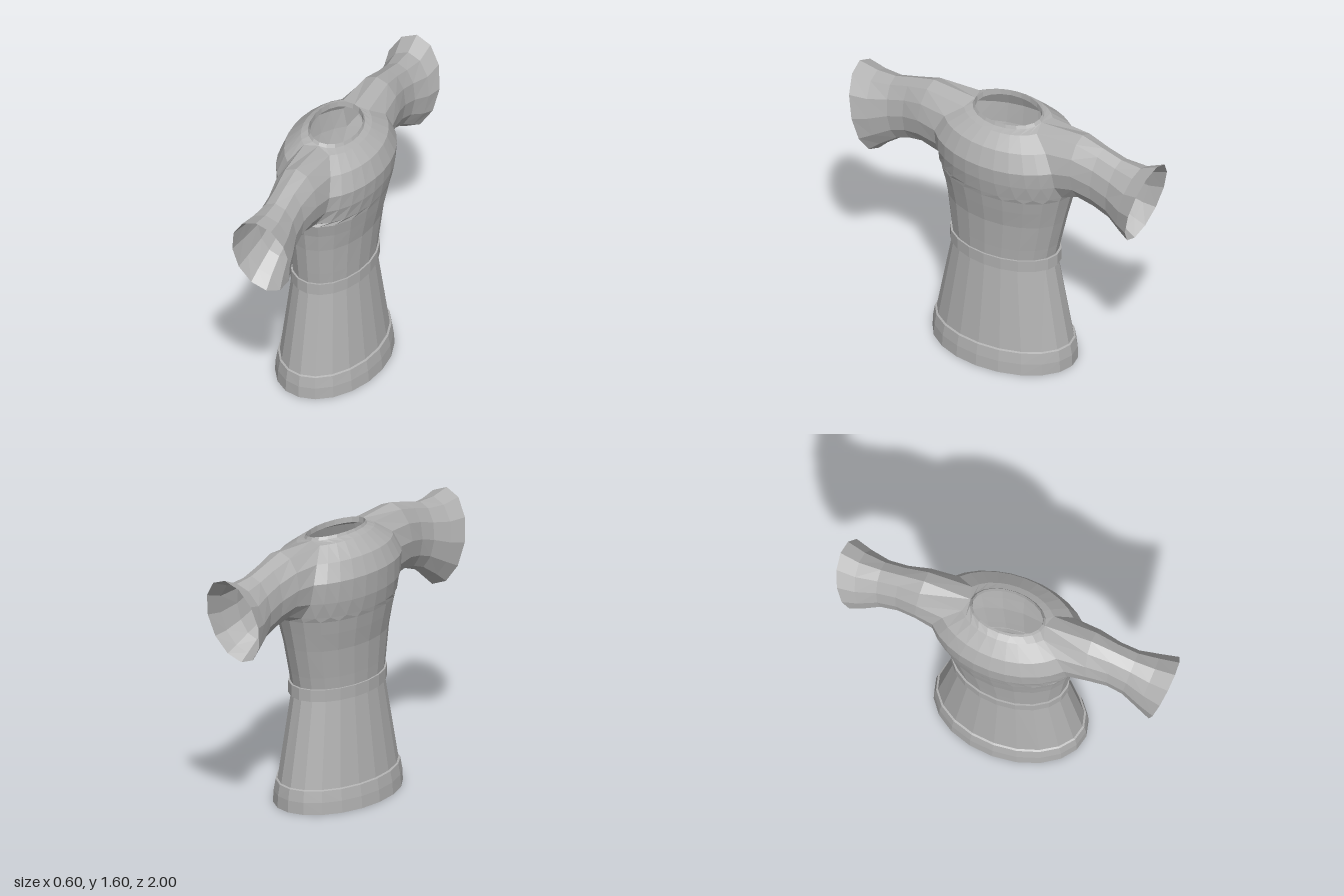
import * as THREE from 'three';

const cloth = new THREE.MeshStandardMaterial({ color: 0xb0b0b0, flatShading: true, side: THREE.DoubleSide });
cloth.name = 'grey cloth';

const COLS = 10; // columns in each half of the body
const SIDES = 12; // points around a sleeve

// Skin between successive rows of points.
function loft(rows, flip) {
  const pos = [];
  for (let j = 0; j + 1 < rows.length; j++) {
    for (let i = 0; i + 1 < rows[j].length; i++) {
      const a = rows[j][i], b = rows[j][i + 1], c = rows[j + 1][i + 1], d = rows[j + 1][i];
      for (const p of flip ? [a, c, b, a, d, c] : [a, b, c, a, c, d]) pos.push(p.x, p.y, p.z);
    }
  }
  const g = new THREE.BufferGeometry();
  g.setAttribute('position', new THREE.Float32BufferAttribute(pos, 3));
  g.computeVertexNormals();
  return g;
}

// Point on a body level; w is the half width of the armhole at that height.
function bodyPoint({ y, rx, rz, cz = 0, tilt = 0, w = 0 }, t, s) {
  const e = Math.asin(w / rx);
  const a = e + (Math.PI - 2 * e) * t;
  const x = s * rx * Math.sin(a);
  return new THREE.Vector3(x, y + tilt * x, cz + rz * Math.cos(a));
}

function addBody(group, name, levels) {
  const part = new THREE.Group();
  part.name = name;
  for (const s of [1, -1]) {
    const rows = levels.map((l) => Array.from({ length: COLS + 1 }, (_, i) => bodyPoint(l, i / COLS, s)));
    const mesh = new THREE.Mesh(loft(rows, s < 0), cloth);
    mesh.name = name + (s > 0 ? 'Left' : 'Right');
    part.add(mesh);
  }
  group.add(part);
}

const hem = [
  { y: 0, rx: 0.298, rz: 0.45, cz: 0.02 },
  { y: 0.07, rx: 0.292, rz: 0.448, cz: 0.02 },
  { y: 0.135, rx: 0.28, rz: 0.437, cz: 0.02 },
  { y: 0.14, rx: 0.268, rz: 0.425, cz: 0.02 },
];
const skirt = [
  { y: 0.13, rx: 0.27, rz: 0.428, cz: 0.02 },
  { y: 0.66, rx: 0.208, rz: 0.325, cz: 0.02 },
];
const belt = [
  { y: 0.64, rx: 0.205, rz: 0.325, cz: 0.017 },
  { y: 0.64, rx: 0.222, rz: 0.346, cz: 0.017 },
  { y: 0.71, rx: 0.222, rz: 0.346, cz: 0.017 },
  { y: 0.71, rx: 0.208, rz: 0.325, cz: 0.017 },
];
// Levels with w open up the armholes.
const torso = [
  { y: 0.66, rx: 0.208, rz: 0.325, cz: 0.02 },
  { y: 0.78, rx: 0.217, rz: 0.345, cz: 0.015 },
  { y: 0.95, rx: 0.232, rz: 0.375, cz: 0.005 },
  { y: 1.06, rx: 0.255, rz: 0.398 },
  { y: 1.14, rx: 0.27, rz: 0.42 },
  { y: 1.17, rx: 0.277, rz: 0.43, w: 0.08 },
  { y: 1.26, rx: 0.294, rz: 0.45, w: 0.135 },
  { y: 1.37, rx: 0.3, rz: 0.46, w: 0.155, tilt: -0.06 },
  { y: 1.475, rx: 0.258, rz: 0.4, w: 0.135, tilt: -0.06 },
  { y: 1.545, rx: 0.175, rz: 0.275, w: 0.08, tilt: -0.13 },
  { y: 1.56, rx: 0.14, rz: 0.222, tilt: -0.17 },
];
const collar = [
  { y: 1.56, rx: 0.14, rz: 0.222, tilt: -0.17 },
  { y: 1.577, rx: 0.132, rz: 0.21, tilt: -0.17 },
  { y: 1.545, rx: 0.13, rz: 0.207, tilt: -0.17 },
];

// Sleeve rings: [top z, top y, bottom z, bottom y, half width]
const frontSleeve = [
  [0.5, 1.577, 0.54, 1.165, 0.138],
  [0.64, 1.54, 0.63, 1.145, 0.117],
  [0.76, 1.505, 0.71, 1.115, 0.121],
  [0.88, 1.5, 0.81, 1.04, 0.155],
  [1.0, 1.52, 0.87, 0.98, 0.18],
];
const backSleeve = [
  [0.5, 1.577, 0.51, 1.178, 0.138],
  [0.64, 1.54, 0.61, 1.15, 0.117],
  [0.76, 1.508, 0.71, 1.115, 0.121],
  [0.89, 1.5, 0.79, 1.06, 0.155],
  [1.0, 1.55, 0.85, 1.02, 0.18],
];

function addSleeve(group, name, rings, dir) {
  // First ring follows the armhole edge: up one side, down the other.
  const edge = torso.slice(4);
  const t = dir > 0 ? 0 : 1;
  const up = edge.map((l) => bodyPoint(l, t, 1));
  const down = edge.slice(0, -1).reverse().map((l) => bodyPoint(l, t, -1));
  const rows = [[...up, ...down]];
  for (const [zt, yt, zb, yb, w] of rings) {
    rows.push(Array.from({ length: SIDES + 1 }, (_, i) => {
      const a = (i / SIDES) * Math.PI * 2;
      const k = (1 - Math.cos(a)) / 2;
      return new THREE.Vector3(w * Math.sin(a), yb + (yt - yb) * k, dir * (zb + (zt - zb) * k));
    }));
  }
  const mesh = new THREE.Mesh(loft(rows, dir < 0), cloth);
  mesh.name = name;
  group.add(mesh);
}

export function createModel() {
  const group = new THREE.Group();
  group.name = 'tunic';
  addBody(group, 'hem', hem);
  addBody(group, 'skirt', skirt);
  addBody(group, 'belt', belt);
  addBody(group, 'torso', torso);
  addBody(group, 'collar', collar);
  addSleeve(group, 'frontSleeve', frontSleeve, 1);
  addSleeve(group, 'backSleeve', backSleeve, -1);
  return group;
}
